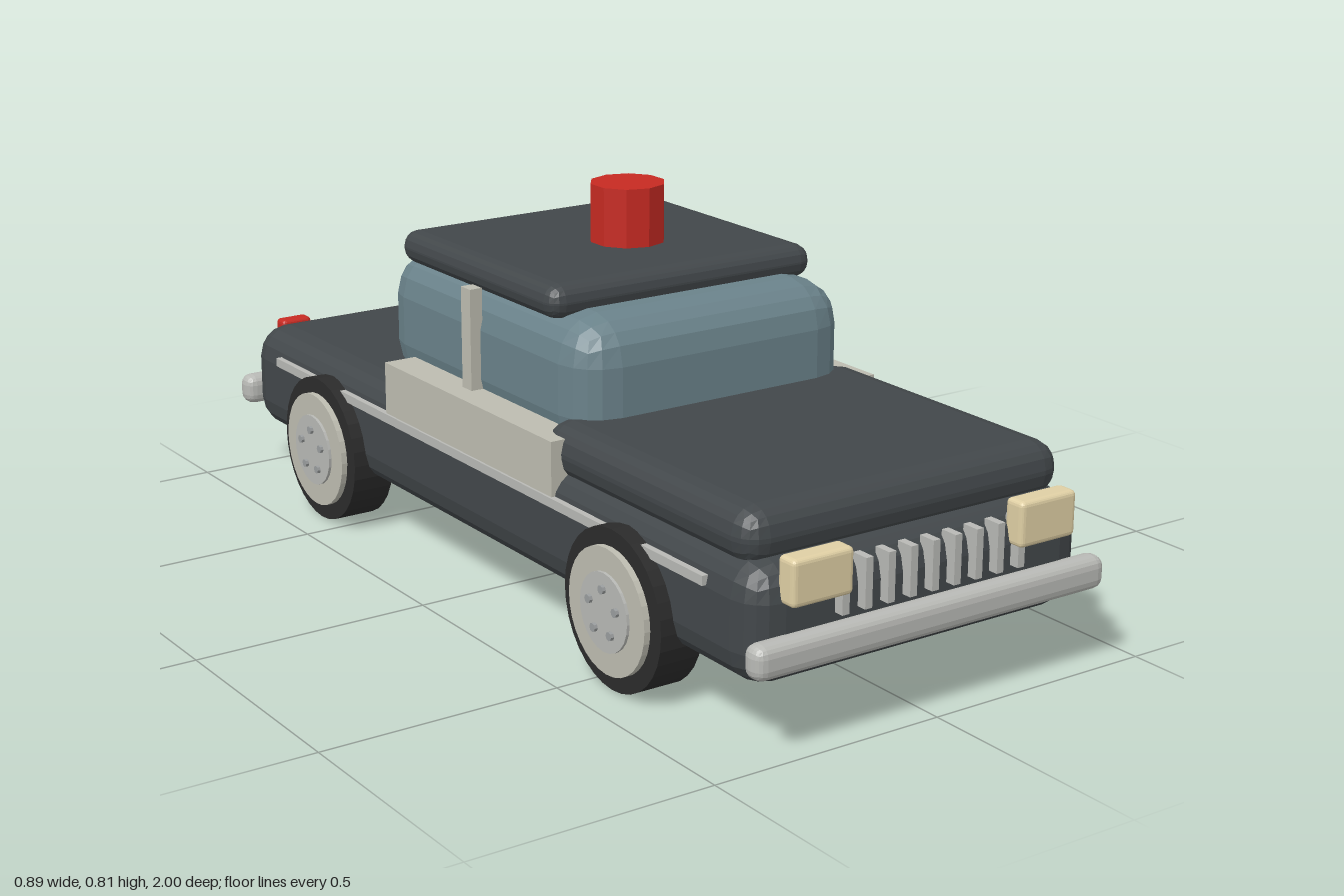
import * as THREE from 'three';
import { RoundedBoxGeometry } from 'three/addons/geometries/RoundedBoxGeometry.js';

const mat = (color) => new THREE.MeshStandardMaterial({ color, flatShading: true });

export function createModel() {
  const car = new THREE.Group();
  car.name = 'car';
  const paint = mat(0x42474a), glass = mat(0x6a828a), cream = mat(0xbdbcb0);
  const lamp = mat(0xdfcfa4), red = mat(0xc62a22), rubber = mat(0x2b2b2b);
  const chrome = mat(0xb8b9b5), steel = mat(0x9a9d9e);

  const add = (name, geometry, material, parent = car) => {
    const mesh = new THREE.Mesh(geometry, material);
    mesh.name = name;
    parent.add(mesh);
    return mesh;
  };
  // Box given by its extents on each axis, with optional rounded edges
  const block = (name, [x0, x1], [y0, y1], [z0, z1], material, radius = 0) => {
    const size = [x1 - x0, y1 - y0, z1 - z0];
    const geometry = radius
      ? new RoundedBoxGeometry(...size, 2, radius)
      : new THREE.BoxGeometry(...size);
    const mesh = add(name, geometry, material);
    mesh.position.set((x0 + x1) / 2, (y0 + y1) / 2, (z0 + z1) / 2);
    return mesh;
  };
  const sided = (side, a, b) => (side > 0 ? [a, b] : [-b, -a]);

  // Bodywork
  block('body', [-0.392, 0.392], [0.115, 0.352], [-0.967, 0.962], paint, 0.07);
  block('hood', [-0.372, 0.372], [0.328, 0.437], [0.24, 0.915], paint, 0.05);
  block('cabin', [-0.327, 0.327], [0.345, 0.628], [-0.447, 0.332], glass, 0.09);
  block('roof', [-0.319, 0.319], [0.609, 0.679], [-0.386, 0.212], paint, 0.033);

  // Beacon
  add('beacon', new THREE.CylinderGeometry(0.078, 0.078, 0.121, 10), red).position.y = 0.751;

  // Bumpers
  block('frontBumper', [-0.41, 0.41], [0.159, 0.226], [0.948, 1.0], chrome, 0.022);
  block('rearBumper', [-0.41, 0.41], [0.159, 0.226], [-1.0, -0.948], chrome, 0.022);

  // Grille bars
  for (let i = -4; i <= 4; i++) {
    const x = i * 0.0515;
    block('grilleBar', [x - 0.008, x + 0.008], [0.241, 0.338], [0.945, 0.983], chrome);
  }

  // Parts mirrored left and right
  for (const side of [1, -1]) {
    block('door', sided(side, 0.3, 0.395), [0.284, 0.415], [-0.322, 0.322], cream);
    block('doorPillar', sided(side, 0.322, 0.35), [0.4, 0.626], [-0.08, -0.045], cream);
    block('sideTrim', sided(side, 0.38, 0.4), [0.285, 0.304], [-0.82, 0.82], chrome);
    block('headlight', sided(side, 0.195, 0.331), [0.28, 0.37], [0.945, 0.992], lamp, 0.01);
    block('tailLight', sided(side, 0.243, 0.317), [0.288, 0.348], [-0.983, -0.945], red, 0.01);

    for (const z of [0.565, -0.582]) {
      const wheel = new THREE.Group();
      wheel.name = 'wheel';
      wheel.position.set(0, 0.159, z);
      car.add(wheel);
      // Disc across the axle, from x0 to x1 outwards
      const disc = (name, r, x0, x1, sides, material, y = 0, dz = 0) => {
        const geometry = new THREE.CylinderGeometry(r, r, x1 - x0, sides).rotateZ(Math.PI / 2);
        add(name, geometry, material, wheel).position.set(side * (x0 + x1) / 2, y, dz);
      };
      disc('tyre', 0.159, 0.327, 0.42, 32, rubber);
      disc('rim', 0.125, 0.41, 0.433, 32, cream);
      disc('hubcap', 0.078, 0.43, 0.439, 24, chrome);
      for (let i = 0; i < 5; i++) {
        const a = (i / 5) * Math.PI * 2;
        disc('wheelBolt', 0.009, 0.435, 0.446, 8, steel, Math.cos(a) * 0.046, Math.sin(a) * 0.046);
      }
    }
  }
  return car;
}
